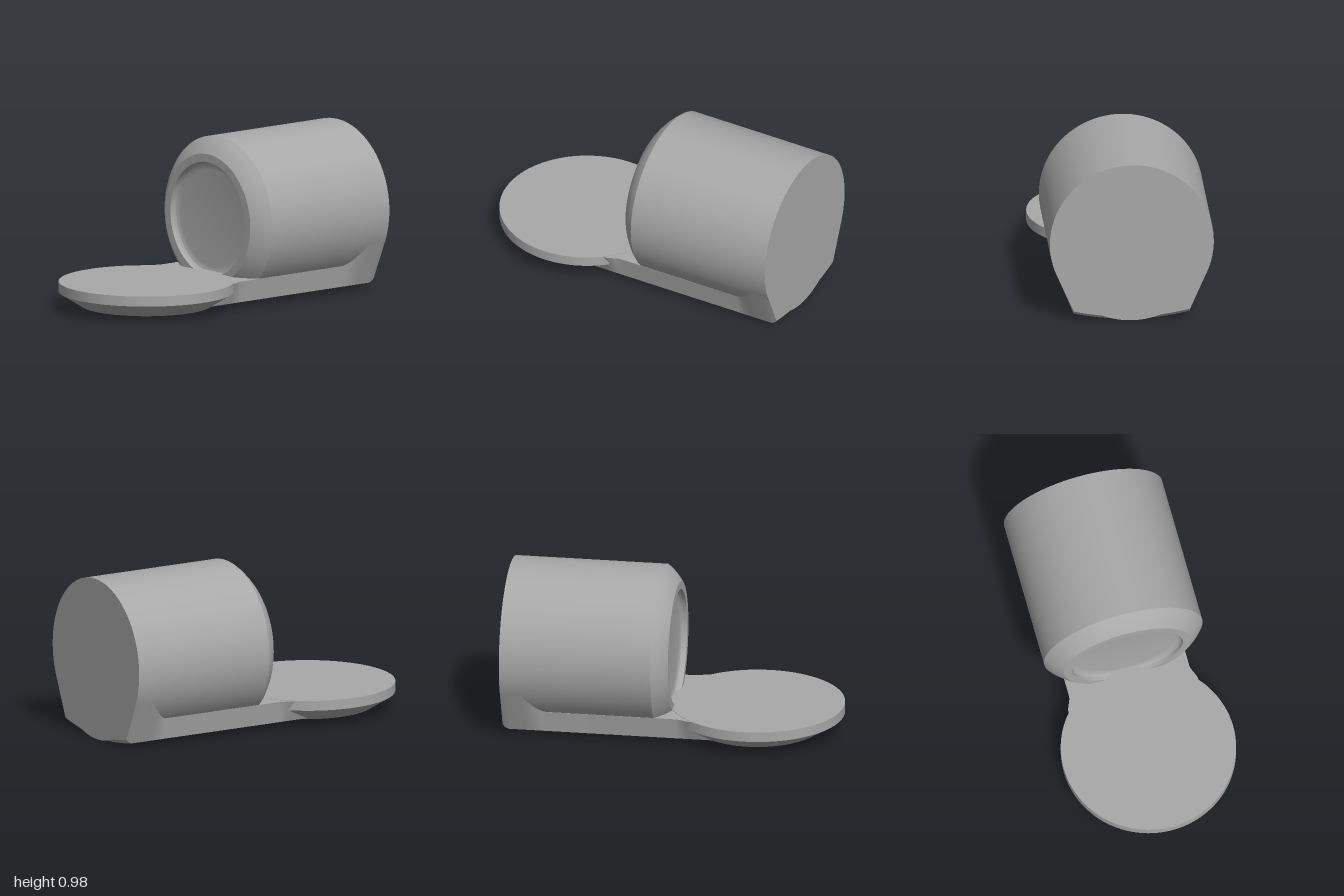
import * as THREE from 'three';
import { toCreasedNormals } from 'three/addons/utils/BufferGeometryUtils.js';

const grey = new THREE.MeshStandardMaterial({ color: 0xa8a8a8 });
grey.name = 'grey';
const CREASE = 0.45;
const v2 = (pairs) => pairs.map(([x, y]) => new THREE.Vector2(x, y));
const smooth = THREE.MathUtils.smoothstep;

function part(name, geometry) {
  const mesh = new THREE.Mesh(toCreasedNormals(geometry, CREASE), grey);
  mesh.name = name;
  return mesh;
}

// Closed neck section at a given z, counter-clockwise seen from the front
function neckSection(z) {
  const flare = 1 - smooth(z, -0.88, -0.74);
  const fillet = 0.03 * smooth(z, 0.04, 0.14);
  const lift = 0.025 * Math.max(0, (-0.96 - z) / 0.04) ** 2;
  const points = [];
  const half = 0.345, n = 16;
  for (let i = 0; i <= n; i++) {
    const u = (i / n) * 2 - 1;
    points.push([half * u, 0.04 * u * u + lift]);
  }
  const topX = THREE.MathUtils.lerp(0.37 + fillet, 0.452, flare);
  const topY = THREE.MathUtils.lerp(0.17, 0.307, flare);
  points.push([topX, topY], [-topX, topY]);
  return points;
}

// Loft through the neck sections, with a cap at each end
function neckGeometry() {
  const stations = [-1, -0.99, -0.975, -0.96];
  for (let i = 0; i <= 8; i++) stations.push(-0.88 + 0.14 * i / 8);
  stations.push(-0.4, 0);
  for (let i = 0; i <= 6; i++) stations.push(0.04 + 0.1 * i / 6);
  stations.push(0.475);
  const positions = [], index = [];
  const count = neckSection(0).length;
  for (const z of stations) for (const [x, y] of neckSection(z)) positions.push(x, y, z);
  for (let s = 0; s < stations.length - 1; s++) {
    for (let i = 0; i < count; i++) {
      const a = s * count + i, b = s * count + (i + 1) % count;
      index.push(a, b, b + count, a, b + count, a + count);
    }
  }
  const last = (stations.length - 1) * count;
  const back = positions.length / 3;
  positions.push(0, 0.12, stations[0], 0, 0.12, stations.at(-1));
  for (let i = 0; i < count; i++) {
    const j = (i + 1) % count;
    index.push(back, j, i, back + 1, last + i, last + j);
  }
  const geometry = new THREE.BufferGeometry();
  geometry.setAttribute('position', new THREE.Float32BufferAttribute(positions, 3));
  geometry.setIndex(index);
  return geometry;
}

export function createModel() {
  const group = new THREE.Group();
  group.name = 'barrelWithTray';

  // Barrel lying along z, with a rounded front bevel and a shallow dished face
  const barrelProfile = v2([
    [0, -1], [0.488, -1], [0.488, -0.09], [0.467, -0.064], [0.443, -0.04],
    [0.417, -0.018], [0.39, 0], [0.342, 0], [0.338, -0.02], [0.328, -0.032],
    [0.312, -0.039], [0.295, -0.041], [0, -0.041],
  ]);
  const barrel = new THREE.LatheGeometry(barrelProfile, 96);
  barrel.rotateX(Math.PI / 2).translate(0, 0.49, 0);
  group.add(part('barrel', barrel));

  // Round tray with a sloping underside and a slightly domed bottom
  const bottom = [];
  for (let i = 0; i <= 6; i++) bottom.push([0.39 * i / 6, 0.002 + 0.028 * (i / 6) ** 2]);
  const trayProfile = v2([...bottom, [0.521, 0.112], [0.521, 0.172], [0, 0.172]]);
  const tray = new THREE.LatheGeometry(trayProfile, 96);
  tray.translate(0, 0, 0.477);
  group.add(part('roundTray', tray));

  // Base running under the barrel and joining it to the tray
  group.add(part('neckBase', neckGeometry()));
  return group;
}
